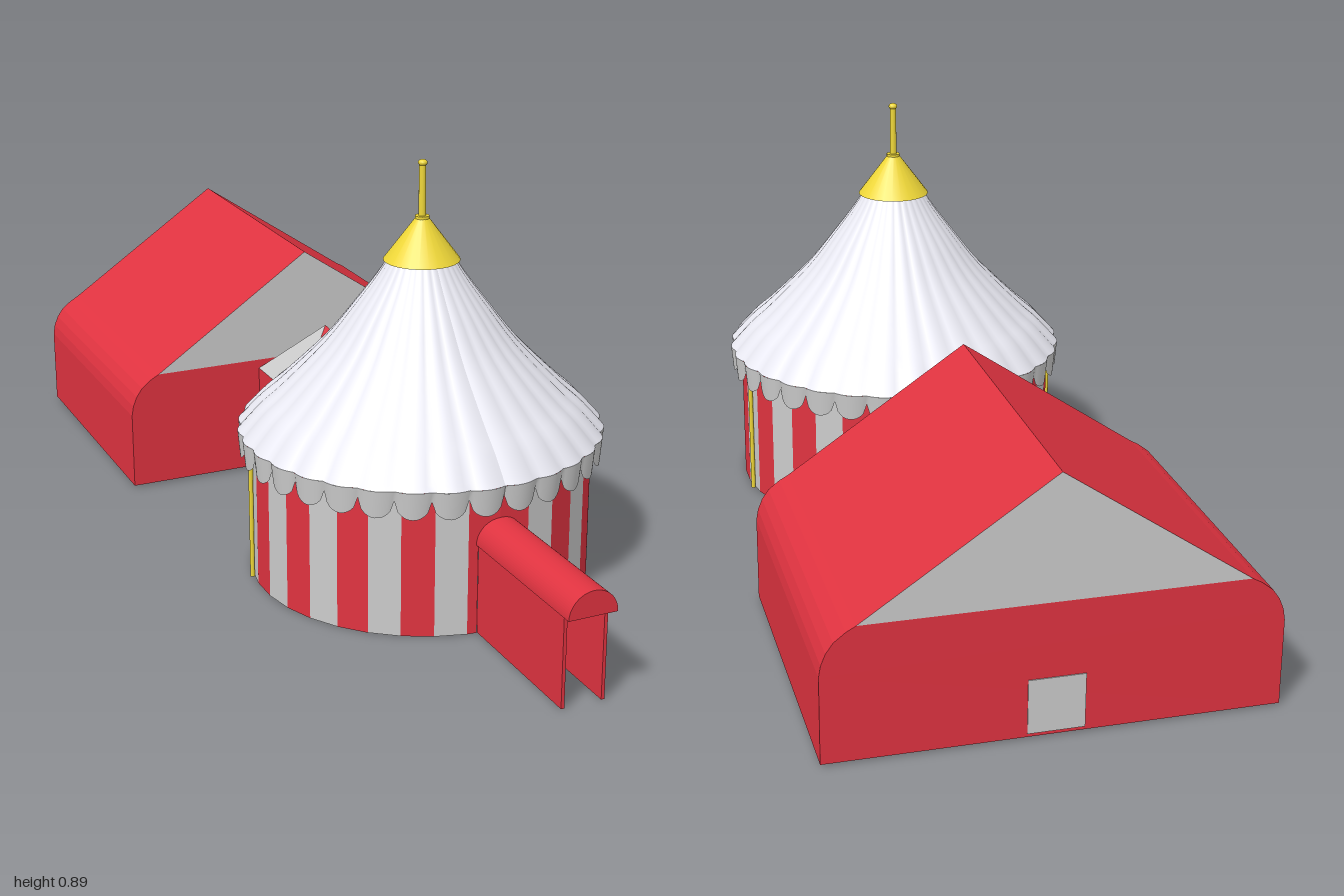
import * as THREE from 'three';
import { mergeGeometries } from 'three/addons/utils/BufferGeometryUtils.js';

const mat = (color, flatShading = false) =>
  new THREE.MeshStandardMaterial({ color, flatShading, side: THREE.DoubleSide });
const red = mat(0xe03340, true), grey = mat(0xcccccc, true);
const redSmooth = mat(0xe03340), white = mat(0xe9e9f2), gold = mat(0xf0d838);
const TENT_Z = 0.285;

export function createModel() {
  const model = new THREE.Group();
  const add = (name, geometry, material, x = 0, y = 0, z = 0, parent = model) => {
    const m = new THREE.Mesh(geometry, material);
    m.name = name;
    m.position.set(x, y, z);
    parent.add(m);
    return m;
  };
  const box = (name, material, w, h, d, x, y, z) =>
    add(name, new THREE.BoxGeometry(w, h, d), material, x, y, z);
  const shape = pts => new THREE.Shape(pts.map(p => new THREE.Vector2(...p)));

  // ---- Round tent ----
  const tent = new THREE.Group();
  tent.name = 'roundTent';
  tent.position.z = TENT_Z;
  model.add(tent);

  // Striped wall: flat panels, those beside a doorway are cut out
  const R = 0.361, H = 0.31, N = 34, W = 2 * R * Math.sin(Math.PI / N);
  const frontCut = [[0, 0.24]];
  for (let i = 1; i <= 8; i++) {
    const a = i / 8 * Math.PI / 2;
    frontCut.push([0.046 * Math.sin(a), 0.192 + 0.048 * Math.cos(a)]);
  }
  frontCut.push([0.046, 0]);
  const backCut = [[0, 0.115], [0.035, 0.115], [0.035, 0]];
  const panels = { red: [], grey: [] };
  for (const side of [-1, 1]) {
    for (let k = 0; k < N / 2; k++) {
      const a = k / N * 2 * Math.PI, b = (k + 1) / N * 2 * Math.PI;
      const last = k === N / 2 - 1;
      const cut = k === 0 ? frontCut : last ? backCut : [[0, 0]];
      const g = new THREE.ShapeGeometry(shape([...cut, [W, 0], [W, H], [0, H]]));
      const p = g.attributes.position;
      for (let i = 0; i < p.count; i++) {
        const t = last ? 1 - p.getX(i) / W : p.getX(i) / W;
        p.setXYZ(i, side * R * THREE.MathUtils.lerp(Math.sin(a), Math.sin(b), t), p.getY(i),
          R * THREE.MathUtils.lerp(Math.cos(a), Math.cos(b), t));
      }
      // keep the winding outward on every panel
      if ((side < 0) !== last) {
        const ix = g.index.array;
        for (let i = 0; i < ix.length; i += 3) [ix[i], ix[i + 1]] = [ix[i + 1], ix[i]];
      }
      g.computeVertexNormals();
      panels[k % 2 ? 'grey' : 'red'].push(g);
    }
  }
  add('redWallStripes', mergeGeometries(panels.red), red, 0, 0, 0, tent);
  add('greyWallStripes', mergeGeometries(panels.grey), grey, 0, 0, 0, tent);

  // Sweeping roof with shallow folds that line up with the scallops
  const FOLDS = 32, SEG = FOLDS * 6;
  const bulge = a => Math.abs(Math.sin(a * FOLDS / 2));
  const curve = new THREE.SplineCurve([[0.386, 0.318], [0.34, 0.368], [0.295, 0.408], [0.203, 0.5],
    [0.14, 0.58], [0.095, 0.64], [0.066, 0.685]].map(p => new THREE.Vector2(...p)));
  const roof = new THREE.LatheGeometry(curve.getPoints(20), SEG);
  const rp = roof.attributes.position;
  for (let i = 0; i < rp.count; i++) {
    const s = 0.98 + 0.02 * bulge(Math.atan2(rp.getX(i), rp.getZ(i)));
    rp.setXYZ(i, rp.getX(i) * s, rp.getY(i), rp.getZ(i) * s);
  }
  roof.computeVertexNormals();
  add('tentRoof', roof, white, 0, 0, 0, tent);

  // Scalloped valance hanging from the eave
  const valance = new THREE.PlaneGeometry(1, 1, FOLDS * 10, 1);
  const vp = valance.attributes.position;
  for (let i = 0; i < vp.count; i++) {
    const u = vp.getX(i) + 0.5, a = u * 2 * Math.PI;
    const t = 2 * ((u * FOLDS) % 1) - 1;
    const low = 0.26 + 0.036 * (1 - Math.sqrt(Math.max(0, 1 - t * t)));
    const top = vp.getY(i) > 0;
    const r = (top ? 0.386 : 0.381) * (0.98 + 0.02 * bulge(a));
    vp.setXYZ(i, r * Math.sin(a), top ? 0.318 : low, r * Math.cos(a));
  }
  valance.computeVertexNormals();
  add('valance', valance, mat(0xcccccc), 0, 0, 0, tent);

  // Gold cap, collar, mast and knob
  add('cap', new THREE.CylinderGeometry(0.014, 0.08, 0.088, 24, 1, true), gold, 0, 0.72, 0, tent);
  add('collar', new THREE.CylinderGeometry(0.015, 0.015, 0.007, 16), gold, 0, 0.765, 0, tent);
  add('mast', new THREE.CylinderGeometry(0.007, 0.008, 0.115, 12), gold, 0, 0.822, 0, tent);
  add('knob', new THREE.SphereGeometry(0.01, 12, 8).scale(1, 0.7, 1), gold, 0, 0.879, 0, tent);
  for (const s of [-1, 1])
    add('sidePole', new THREE.CylinderGeometry(0.005, 0.005, 0.3, 8), gold, s * 0.358, 0.15, -0.07, tent);

  // ---- Entrance tunnel with a barrel roof ----
  for (const s of [-1, 1])
    box('tunnelWall', red, 0.007, 0.192, 0.335, 0.002 + s * 0.043, 0.096, 0.8075);
  const arch = new THREE.Shape();
  arch.absarc(0, 0, 0.052, 0, Math.PI);
  arch.closePath();
  add('tunnelRoof', new THREE.ExtrudeGeometry(arch, { depth: 0.36, bevelEnabled: false, curveSegments: 20 }),
    redSmooth, 0.002, 0.192, 0.64);

  // ---- Low passage between tent and porch ----
  for (const s of [-1, 1])
    box('passageWall', grey, 0.005, 0.115, 0.065, s * 0.035, 0.0575, -0.09);
  box('passageTop', grey, 0.075, 0.005, 0.065, 0, 0.115, -0.09);

  // ---- Square porch with a four-sided roof ----
  const PW = 0.12, PH = 0.252, ZF = -0.097, ZB = -0.34;
  const porchFront = [[-PW, 0.005], [-0.035, 0.005], [-0.035, 0.115], [0.035, 0.115], [0.035, 0.005],
    [PW, 0.005], [PW, PH], [-PW, PH]];
  add('porchFront', new THREE.ShapeGeometry(shape(porchFront)), red, 0, 0, ZF);
  for (const s of [-1, 1])
    add('porchSide', new THREE.PlaneGeometry(ZF - ZB, PH - 0.005), red, s * PW, PH / 2 + 0.0025, (ZF + ZB) / 2)
      .rotation.y = s * Math.PI / 2;
  const corners = [[PW, ZF], [PW, ZB], [-PW, ZB], [-PW, ZF]];
  corners.forEach(([x, z], i) => {
    const [x2, z2] = corners[(i + 1) % 4];
    const g = new THREE.BufferGeometry();
    g.setAttribute('position', new THREE.Float32BufferAttribute(
      [x, PH, z, x2, PH, z2, 0, 0.38, (ZF + ZB) / 2], 3));
    g.computeVertexNormals();
    add('porchRoof', g, i % 2 ? red : grey);
  });

  // ---- Large hall: rounded eaves, open underneath ----
  const half = [[0.438, 0.005], [0.438, 0.18], [0.434, 0.203], [0.425, 0.225], [0.411, 0.245],
    [0.388, 0.263], [0.37, 0.273]];
  const mirrored = half.map(([x, y]) => [-x, y]).reverse();
  const outline = [...half, [0, 0.525], ...mirrored];
  const Z0 = -0.34, Z1 = -1;
  const pos = [];
  for (let i = 0; i < outline.length - 1; i++) {
    const [ax, ay] = outline[i], [bx, by] = outline[i + 1];
    pos.push(ax, ay, Z0, ax, ay, Z1, bx, by, Z1, ax, ay, Z0, bx, by, Z1, bx, by, Z0);
  }
  const shell = new THREE.BufferGeometry();
  shell.setAttribute('position', new THREE.Float32BufferAttribute(pos.slice(), 3));
  shell.computeVertexNormals();
  add('hallShell', shell, red);
  for (const [side, z, turn] of [['Front', Z0, 0], ['Back', Z1, Math.PI]]) {
    add('hall' + side, new THREE.ShapeGeometry(shape([...half, ...mirrored])), red, 0, 0, z).rotation.y = turn;
    add('gable' + side, new THREE.ShapeGeometry(shape([[0.37, 0.273], [0, 0.525], [-0.37, 0.273]])),
      grey, 0, 0, z).rotation.y = turn;
  }
  box('hallDoor', grey, 0.11, 0.11, 0.006, 0, 0.067, Z1 + 0.001);

  return model;
}
